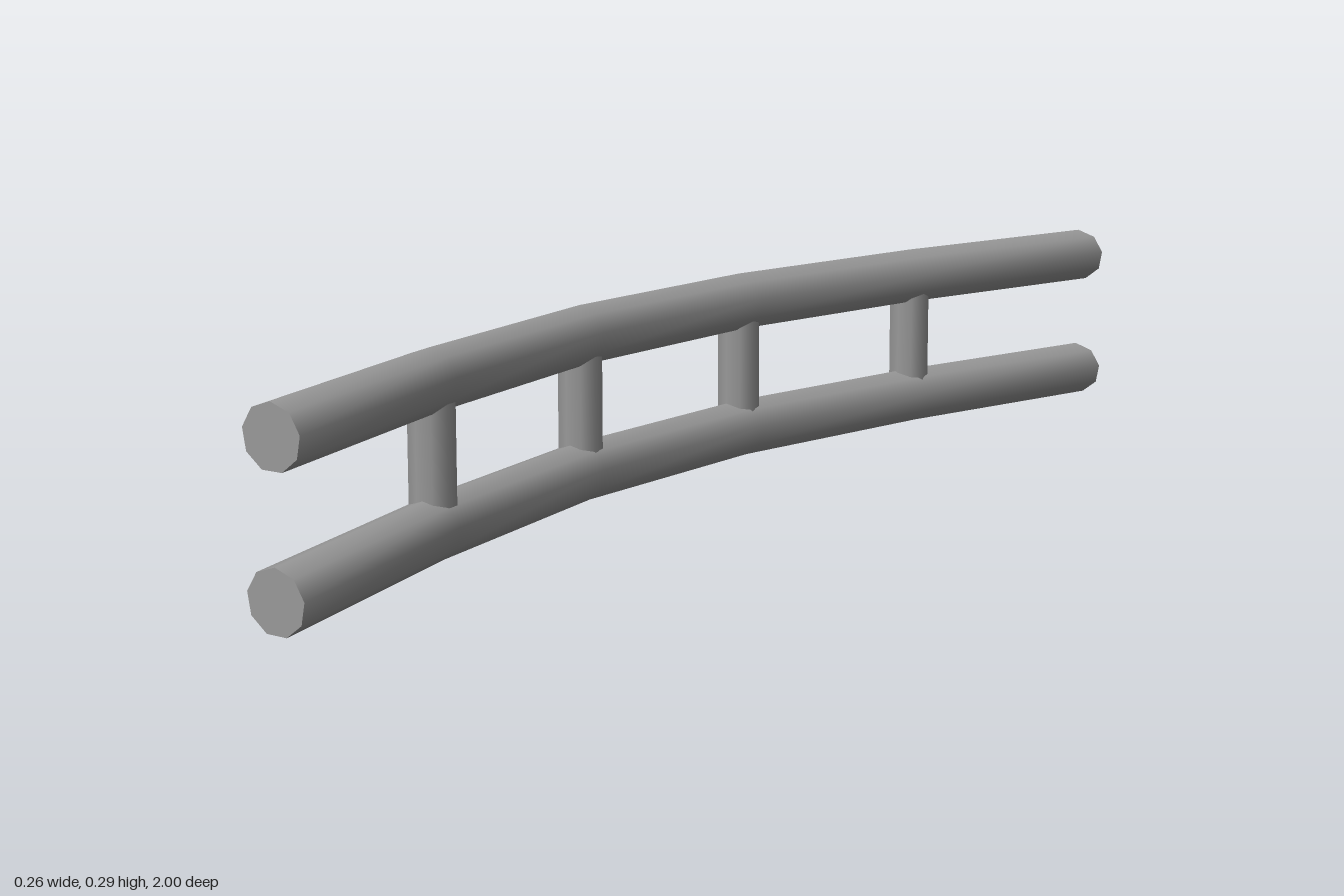
import * as THREE from 'three';

const SIDES = 9;
const RAIL_R = 0.0437;
const RAIL_LOW = RAIL_R * Math.cos(Math.PI / SIDES); // flat underside rests on the ground
const RAIL_GAP = 0.2025;

// Stations along the rail: z, centre x, horizontal radius
const HALF = [[0.2, -0.0855, 0.0472], [0.6, -0.0185, 0.0475], [1, 0.084, 0.0485]];
const STATIONS = [...HALF.map(([z, x, r]) => [-z, x, r]).reverse(), ...HALF];

// Bent bar with a nine-sided section, smooth sides and flat ends cut square to z
function railGeometry() {
  const pos = [], index = [];
  const addRing = ([z, x, r]) => {
    const start = pos.length / 3;
    for (let j = 0; j < SIDES; j++) {
      const a = Math.PI / 2 + (j / SIDES) * Math.PI * 2;
      pos.push(x + r * Math.cos(a), RAIL_R * Math.sin(a), z);
    }
    return start;
  };
  const rings = STATIONS.map(addRing);
  for (let i = 0; i < rings.length - 1; i++) {
    for (let j = 0; j < SIDES; j++) {
      const k = (j + 1) % SIDES;
      const a = rings[i] + j, b = rings[i] + k, c = rings[i + 1] + j, d = rings[i + 1] + k;
      index.push(a, b, c, b, d, c);
    }
  }
  // End caps on their own vertices, so their edges stay sharp
  const back = addRing(STATIONS[0]);
  const front = addRing(STATIONS[STATIONS.length - 1]);
  for (let j = 1; j < SIDES - 1; j++) {
    index.push(front, front + j, front + j + 1);
    index.push(back, back + j + 1, back + j);
  }
  const g = new THREE.BufferGeometry();
  g.setAttribute('position', new THREE.Float32BufferAttribute(pos, 3));
  g.setIndex(index);
  g.computeVertexNormals();
  return g;
}

export function createModel() {
  const model = new THREE.Group();
  model.name = 'curvedRailing';
  const material = new THREE.MeshStandardMaterial({ color: 0x999999 });

  // Two parallel rails
  const rail = railGeometry();
  ['lowerRail', 'upperRail'].forEach((name, i) => {
    const mesh = new THREE.Mesh(rail, material);
    mesh.name = name;
    mesh.position.y = RAIL_LOW + i * RAIL_GAP;
    model.add(mesh);
  });

  // Short posts at each bend, sunk into both rails
  const post = new THREE.CylinderGeometry(0.0328, 0.0328, RAIL_GAP, SIDES);
  STATIONS.slice(1, -1).forEach(([z, x], i) => {
    const mesh = new THREE.Mesh(post, material);
    mesh.name = `post${i + 1}`;
    mesh.position.set(x, RAIL_LOW + RAIL_GAP / 2, z);
    model.add(mesh);
  });

  return model;
}
